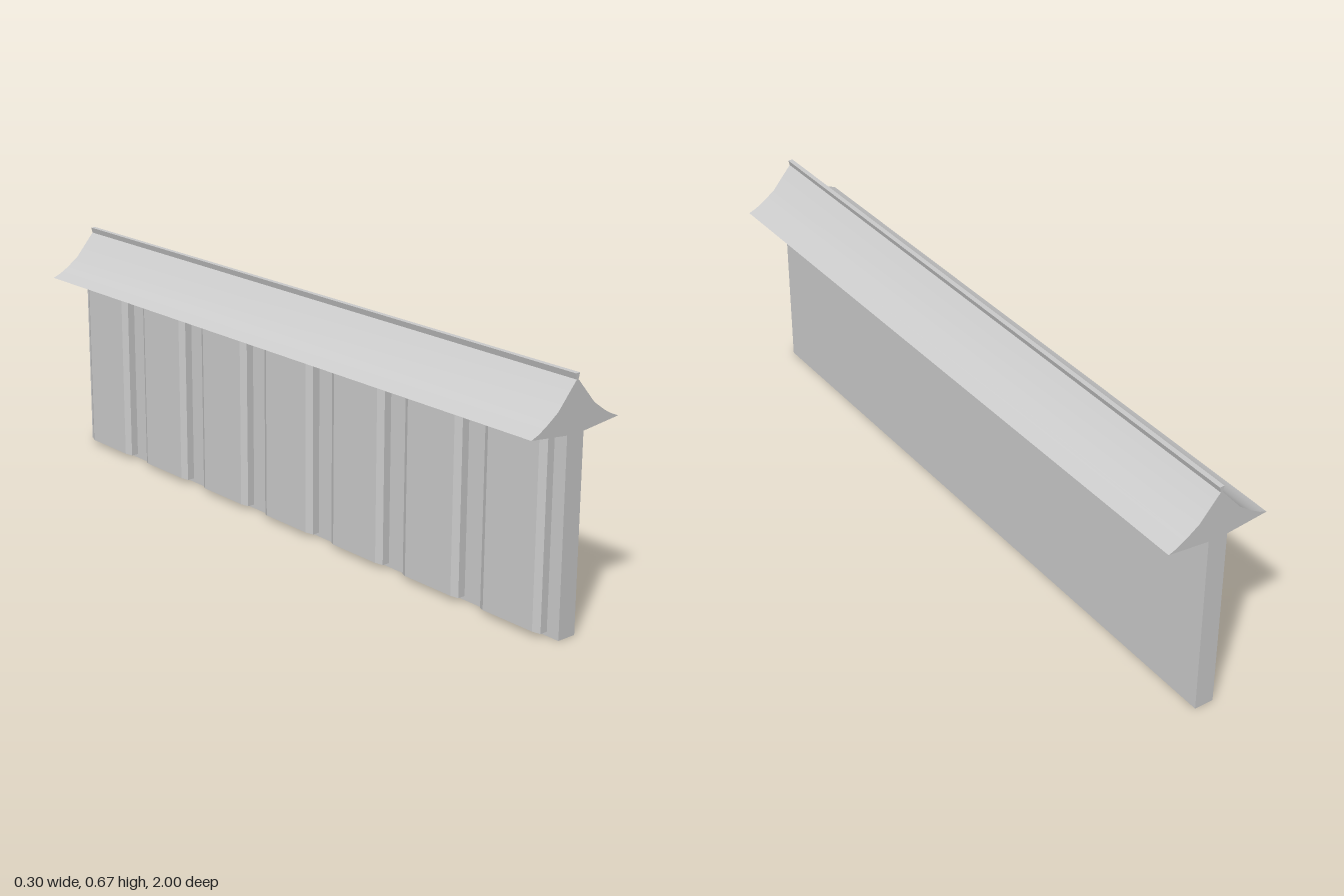
import * as THREE from 'three';
import { toCreasedNormals } from 'three/addons/utils/BufferGeometryUtils.js';

const LENGTH = 2, PANELS = 7;
const material = new THREE.MeshStandardMaterial({ color: 0xcccccc });

function addMesh(parent, name, geometry) {
  const mesh = new THREE.Mesh(geometry, material);
  mesh.name = name;
  parent.add(mesh);
  return mesh;
}

// Mirrors a right-hand outline (bottom to top) and runs it the full length along z
function extrudeSymmetric(half) {
  const left = half.map(([x, y]) => [-x, y]).reverse();
  const shape = new THREE.Shape([...half, ...left].map(([x, y]) => new THREE.Vector2(x, y)));
  const geometry = new THREE.ExtrudeGeometry(shape, { depth: LENGTH, bevelEnabled: false });
  geometry.translate(0, 0, -LENGTH / 2);
  return toCreasedNormals(geometry, 0.3);
}

// Box standing out towards -x whose outer face is inset by a bevel
function panelGeometry(width) {
  const body = new THREE.BoxGeometry(0.032, 0.502, width, 2, 1, 1);
  const p = body.attributes.position;
  for (let i = 0; i < p.count; i++) {
    const x = p.getX(i);
    if (x < -0.01) {
      p.setY(i, p.getY(i) - Math.sign(p.getY(i)) * 0.003);
      p.setZ(i, p.getZ(i) - Math.sign(p.getZ(i)) * 0.019);
    } else if (x < 0.01) {
      p.setX(i, -0.006); // start of the bevel
    }
  }
  const flat = body.toNonIndexed();
  flat.computeVertexNormals();
  return flat;
}

export function createModel() {
  const group = new THREE.Group();
  group.name = 'wallSection';

  // Plain wall
  const wall = addMesh(group, 'wall', new THREE.BoxGeometry(0.056, 0.525, LENGTH));
  wall.position.y = 0.2625;

  // Flared coping and the thin ridge on top of it
  addMesh(group, 'roofCoping', extrudeSymmetric([
    [0.028, 0.525], [0.149, 0.538], [0.126, 0.547], [0.1, 0.562], [0.062, 0.589], [0.003, 0.657],
  ]));
  addMesh(group, 'ridge', extrudeSymmetric([[0.003, 0.657], [0.007, 0.673]]));

  // Row of raised panels on one face
  const pitch = LENGTH / PANELS;
  const geometry = panelGeometry(pitch - 0.078);
  for (let i = 0; i < PANELS; i++) {
    const panel = addMesh(group, 'panel' + (i + 1), geometry);
    panel.position.set(-0.044, 0.262, -LENGTH / 2 + pitch * (i + 0.5));
  }
  return group;
}
